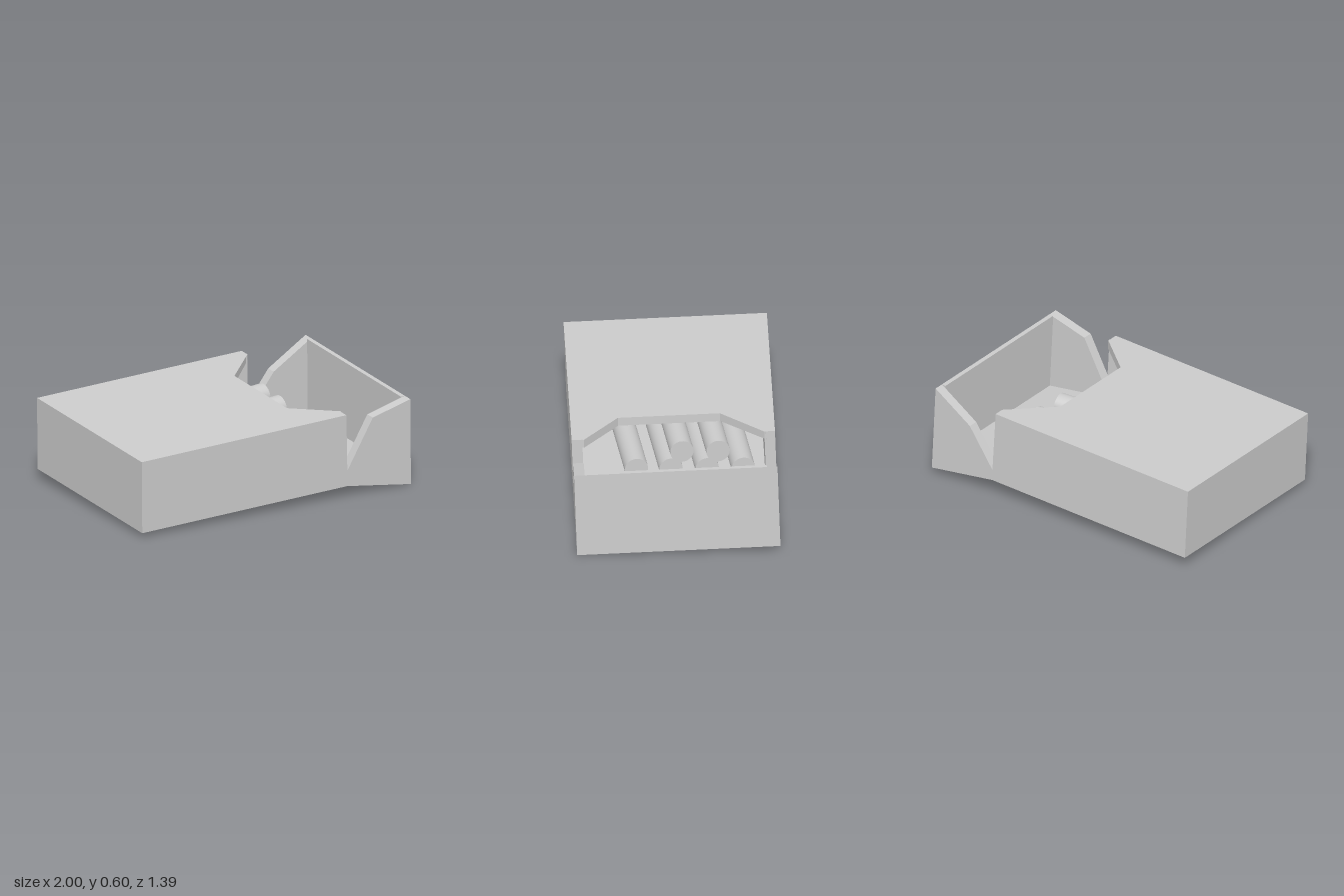
import * as THREE from 'three';

const H = 0.466, D = 1.24, HINGE = 1.455, END = 1.907, DROP = -0.082;
const WALL = 0.065, FLOOR = 0.06, ROOF = 0.055, END_WALL = 0.028;

const material = new THREE.MeshStandardMaterial({ color: 0xcccccc });

function extrude(points, depth) {
  const shape = new THREE.Shape(points.map(([x, y]) => new THREE.Vector2(x, y)));
  return new THREE.ExtrudeGeometry(shape, { depth, bevelEnabled: false });
}

export function createModel() {
  const model = new THREE.Group();
  const box = new THREE.Group();
  box.name = 'openBox';
  model.add(box);

  function add(name, geometry) {
    const mesh = new THREE.Mesh(geometry, material);
    mesh.name = name;
    box.add(mesh);
    return mesh;
  }

  // Long side walls: body, V-shaped notch at the hinge, and lid flap
  function sideWall(name, z, notchY, kneeY) {
    add(name, extrude([
      [0, 0], [HINGE, 0], [END, DROP], [END, 0.475],
      [1.64, kneeY], [HINGE + 0.002, notchY], [HINGE - 0.002, H], [0, H],
    ], WALL)).position.z = z;
  }
  sideWall('frontWall', -WALL, 0.10, 0.41);
  sideWall('backWall', -D, 0.07, 0.311);

  // Floor, bent down at the hinge
  add('floor', extrude([
    [0, 0], [HINGE, 0], [END, DROP], [END, DROP + FLOOR], [HINGE, FLOOR], [0, FLOOR],
  ], D - 2 * WALL)).position.z = WALL - D;

  // Top panel with its trapezoid cut-out
  const top = extrude([
    [0, WALL], [HINGE, WALL], [HINGE, 0.075], [1.205, 0.29],
    [1.205, 0.912], [HINGE, 1.185], [HINGE, D - WALL], [0, D - WALL],
  ], ROOF);
  top.rotateX(-Math.PI / 2);
  add('topPanel', top).position.y = H - ROOF;

  // Closed left end
  add('closedEnd', new THREE.BoxGeometry(WALL, H, D - 2 * WALL))
    .position.set(WALL / 2, H / 2, -D / 2);

  // Lid end wall
  add('lidEnd', new THREE.BoxGeometry(END_WALL, 0.475 - DROP, D - 2 * WALL))
    .position.set(END - END_WALL / 2, (0.475 + DROP) / 2, -D / 2);

  // Rods lying inside in two rows, slightly turned; placed by their right ends
  const length = 0.9;
  const rod = new THREE.CylinderGeometry(0.072, 0.072, length, 32);
  rod.rotateZ(-Math.PI / 2);
  rod.translate(-length / 2, 0, 0);
  rod.rotateY(0.11);
  const rows = [
    { y: 0.19, zs: [-0.39, -0.60, -0.82, -1.04] },
    { y: 0.31, zs: [-0.67, -0.89] },
  ];
  for (const { y, zs } of rows) {
    for (const z of zs) add('rod', rod).position.set(1.335 - z * 0.068, y, z);
  }

  // Slight turn and tilt of the whole box
  const xAxis = new THREE.Vector3(0.997, 0.0275, -0.0685).normalize();
  const yAxis = new THREE.Vector3(0.069, -0.032, 0.997).cross(xAxis).normalize();
  const zAxis = xAxis.clone().cross(yAxis);
  box.quaternion.setFromRotationMatrix(new THREE.Matrix4().makeBasis(xAxis, yAxis, zAxis));
  box.position.set(-0.905, 0.035, 0.666);
  return model;
}
